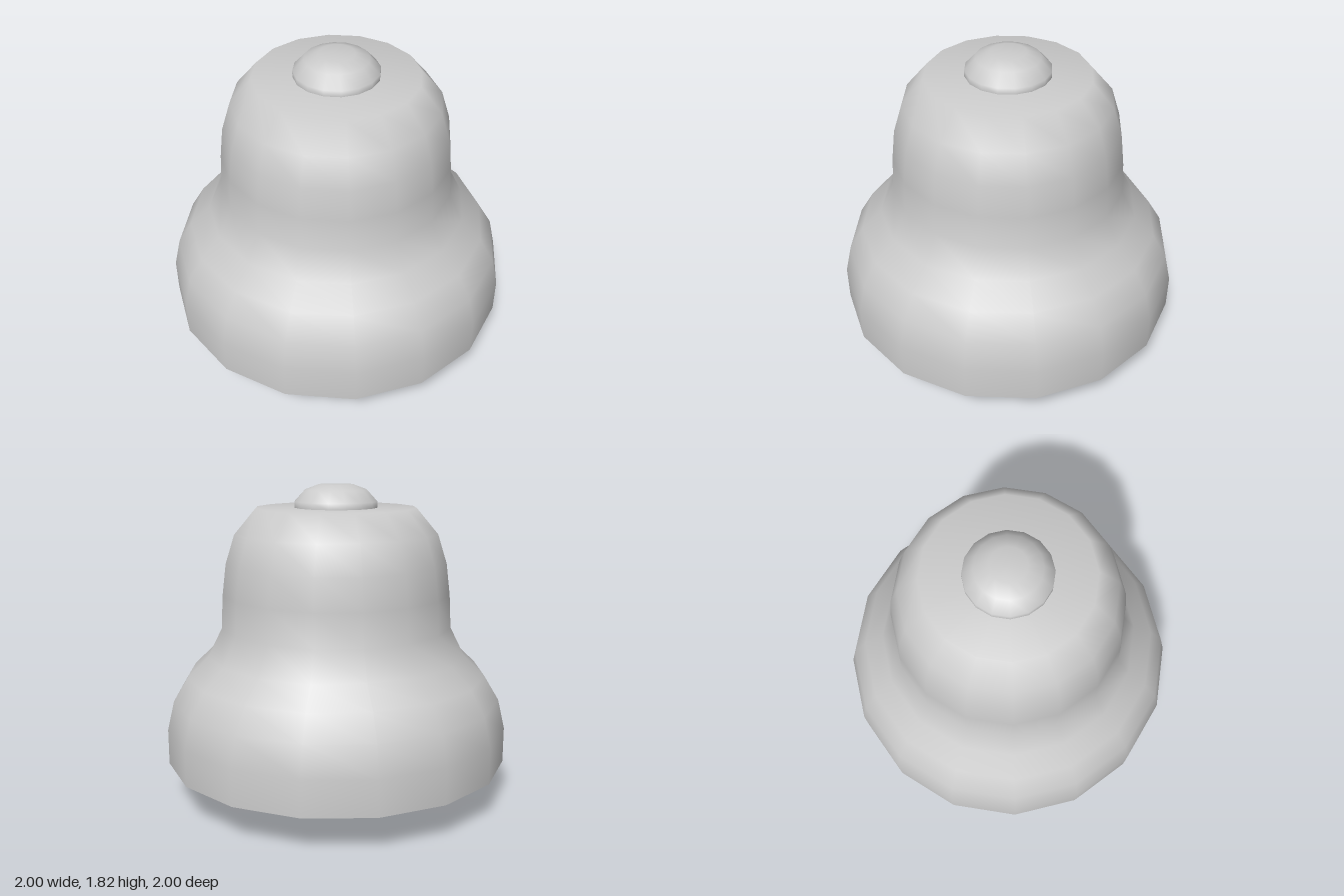
import * as THREE from 'three';

const SIDES = 16;
const material = new THREE.MeshStandardMaterial({ color: 0xcccccc });

export function createModel() {
  const bell = new THREE.Group();
  bell.name = 'bell';

  const add = (name, geometry) => {
    const mesh = new THREE.Mesh(geometry, material);
    mesh.name = name;
    bell.add(mesh);
    return mesh;
  };
  const lathe = (points) =>
    new THREE.LatheGeometry(points.map(([r, y]) => new THREE.Vector2(r, y)), SIDES);

  // Outer shell, from the rim up to the flat crown
  const outer = [
    [1, 0.215], [1, 0.42], [0.96, 0.59], [0.875, 0.73], [0.755, 0.845],
    [0.672, 1.01], [0.662, 1.2], [0.64, 1.38], [0.588, 1.545], [0.465, 1.69], [0, 1.69],
  ];
  add('outerShell', lathe(outer));

  // Inner wall, running down from the crown so it faces inward
  const inner = [
    [0.925, 0.215], [0.925, 0.41], [0.89, 0.56], [0.82, 0.68], [0.7, 0.8],
    [0.6, 0.99], [0.588, 1.2], [0.568, 1.36], [0.522, 1.5], [0.43, 1.615], [0, 1.615],
  ];
  add('innerWall', lathe(inner.reverse()));

  // Flat lip joining both walls
  add('rim', lathe([[0.925, 0.215], [1, 0.215]]));

  // Rounded knob on the crown
  add('topKnob', lathe([[0.24, 1.69], [0.24, 1.725], [0.18, 1.79], [0.1, 1.82], [0, 1.82]]));

  // Clapper rod and ball; the ball stands on one of its corners
  add('clapperRod', new THREE.CylinderGeometry(0.07, 0.07, 1.24, SIDES, 1, true)).position.y = 1.0;
  const ball = new THREE.IcosahedronGeometry(0.22, 1);
  ball.rotateZ(-Math.atan(2 / (1 + Math.sqrt(5))));
  add('clapperBall', ball).position.y = 0.22;

  return bell;
}
